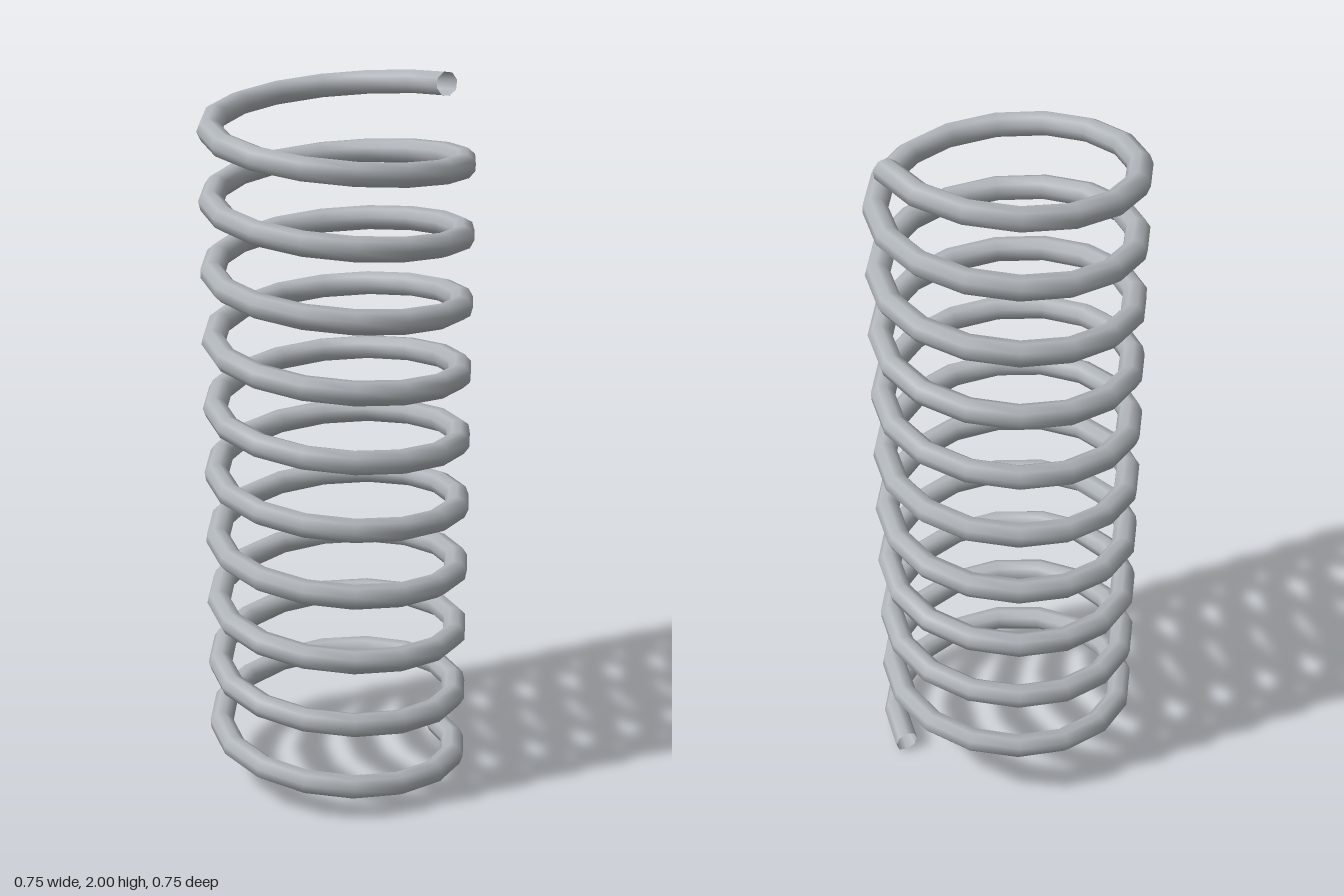
import * as THREE from 'three';

// Helix rising from the +x side, passing the front first
class Helix extends THREE.Curve {
  constructor(radius, bottom, top, turns) {
    super();
    Object.assign(this, { radius, bottom, top, turns });
  }
  getPoint(t, target = new THREE.Vector3()) {
    const a = t * this.turns * Math.PI * 2;
    return target.set(
      this.radius * Math.cos(a),
      THREE.MathUtils.lerp(this.bottom, this.top, t),
      this.radius * Math.sin(a)
    );
  }
}

export function createModel() {
  const model = new THREE.Group();
  model.name = 'coilSpring';

  const steel = new THREE.MeshStandardMaterial({ color: 0xb0b5ba, side: THREE.DoubleSide });
  steel.name = 'steel';

  // Open-ended wire: ten turns of sixteen segments each
  const turns = 10;
  const wire = 0.034;
  const path = new Helix(0.341, wire, 2 - wire, turns);
  path.arcLengthDivisions = turns * 64;
  const coil = new THREE.Mesh(new THREE.TubeGeometry(path, turns * 16, wire, 8, false), steel);
  coil.name = 'coil';
  model.add(coil);

  return model;
}
